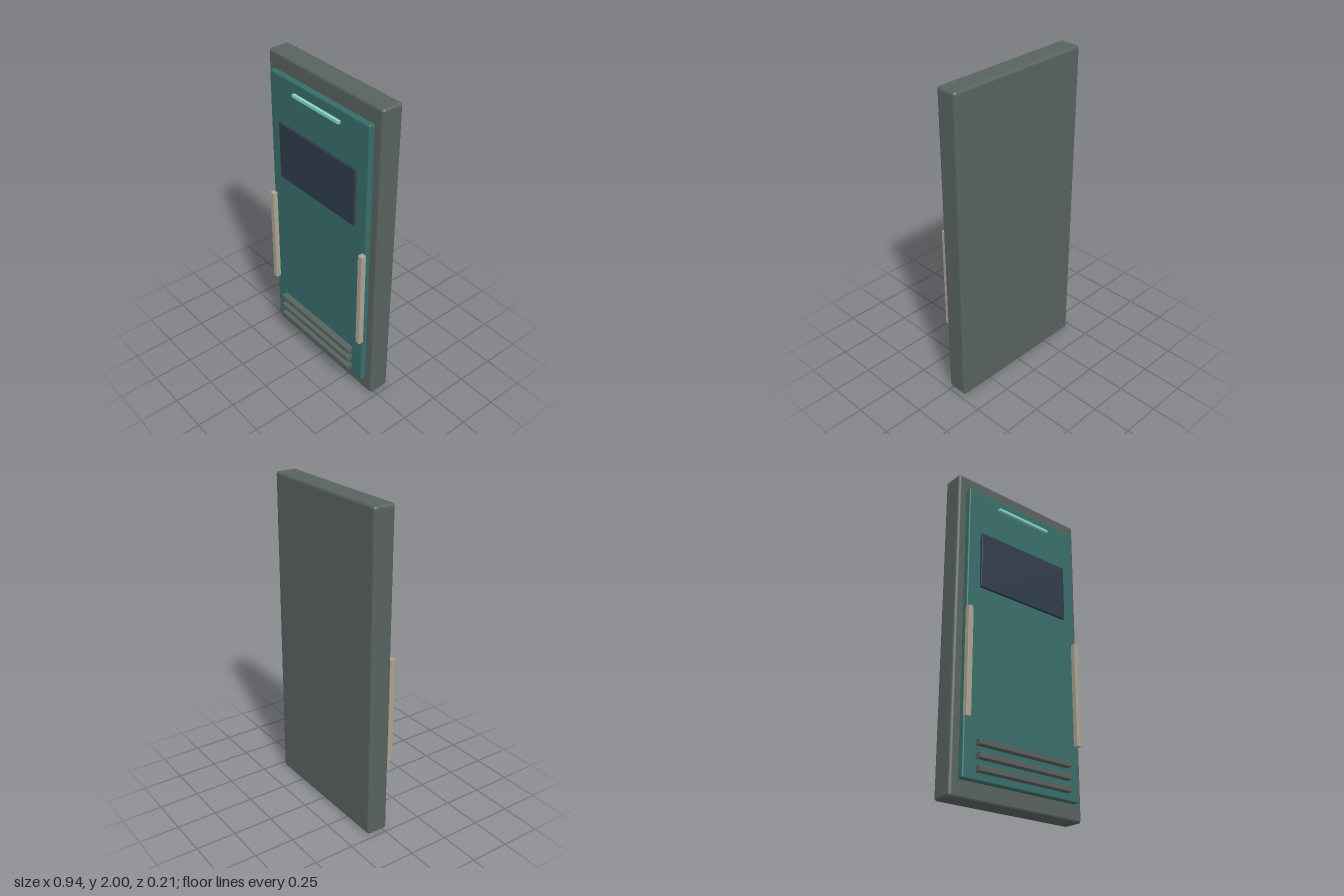
import * as THREE from 'three';
import { RoundedBoxGeometry } from 'three/addons/geometries/RoundedBoxGeometry.js';

const mat = (name, color) => {
  const m = new THREE.MeshStandardMaterial({ color });
  m.name = name;
  return m;
};

export function createModel() {
  const group = new THREE.Group();
  group.name = 'slidingDoorPanel';

  const frameGrey = mat('frame grey', 0x58625e);
  const doorTeal = mat('door teal', 0x376d69);
  const glassNavy = mat('dark glass', 0x2f3c4b);
  const handleBeige = mat('handle beige', 0xaaa392);
  const lightMint = mat('light mint', 0x86d2c6);

  // Block given by its extents on each axis, with softened edges
  const block = (name, material, [x0, x1], [y0, y1], [z0, z1], radius) => {
    const geometry = new RoundedBoxGeometry(x1 - x0, y1 - y0, z1 - z0, 3, radius);
    const mesh = new THREE.Mesh(geometry, material);
    mesh.position.set((x0 + x1) / 2, (y0 + y1) / 2, (z0 + z1) / 2);
    mesh.name = name;
    group.add(mesh);
  };

  // Thick surround and raised door leaf
  block('frame', frameGrey, [-0.472, 0.472], [0, 2], [-0.107, 0.029], 0.018);
  block('doorPanel', doorTeal, [-0.417, 0.417], [0.1, 1.902], [0.026, 0.066], 0.009);

  // Window and indicator light
  block('window', glassNavy, [-0.328, 0.328], [1.246, 1.608], [0.056, 0.081], 0.004);
  block('lightBar', lightMint, [-0.195, 0.195], [1.821, 1.841], [0.066, 0.085], 0.002);

  // Upright handles on both edges
  for (const side of [-1, 1]) {
    const x = side * 0.407;
    block(side > 0 ? 'leftHandle' : 'rightHandle', handleBeige,
      [x - 0.0165, x + 0.0165], [0.431, 1.09], [0.064, 0.098], 0.003);
  }

  // Vent slats near the bottom
  for (let i = 0; i < 3; i++) {
    const y = 0.161 + i * 0.073;
    block(`ventSlat${i + 1}`, frameGrey, [-0.332, 0.332], [y - 0.016, y + 0.016], [0.064, 0.106], 0.002);
  }

  return group;
}
